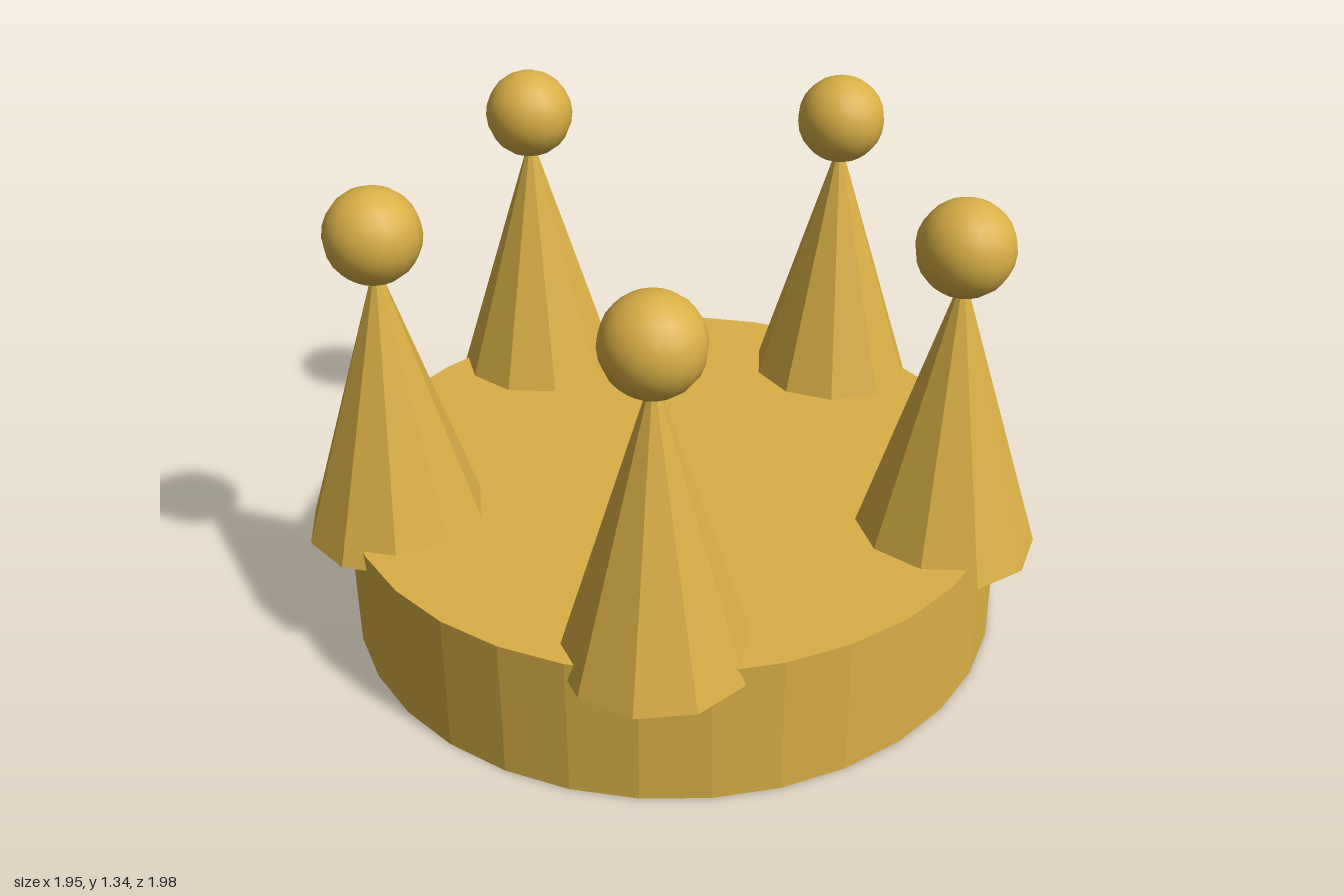
import * as THREE from 'three';

export function createModel() {
  const crown = new THREE.Group();
  crown.name = 'crown';

  const goldFlat = new THREE.MeshStandardMaterial({ color: 0xd9b046, flatShading: true });
  goldFlat.name = 'gold';
  const goldSmooth = new THREE.MeshStandardMaterial({ color: 0xd9b046 });
  goldSmooth.name = 'polished gold';

  const centreX = -0.06;
  const add = (name, geometry, material, parent, x, y, z) => {
    const mesh = new THREE.Mesh(geometry, material);
    mesh.name = name;
    mesh.position.set(x, y, z);
    parent.add(mesh);
    return mesh;
  };

  // Solid faceted band
  add('band', new THREE.CylinderGeometry(0.92, 0.92, 0.4, 32), goldFlat, crown, centreX, 0.2, 0);

  // Five ten-sided spikes, each topped by a ball
  const spikeGeometry = new THREE.ConeGeometry(0.25, 0.8, 10);
  const ballGeometry = new THREE.SphereGeometry(0.127, 16, 12);
  const turns = [18, 0, 9, -9, 0]; // facet turn of each spike, in degrees
  turns.forEach((turn, i) => {
    const angle = (i * Math.PI * 2) / 5;
    const point = new THREE.Group();
    point.name = 'point' + (i + 1);
    point.position.set(centreX + 0.78 * Math.cos(angle), 0, 0.78 * Math.sin(angle));
    const spike = add('spike', spikeGeometry, goldFlat, point, 0, 0.75, 0);
    spike.rotation.y = THREE.MathUtils.degToRad(turn);
    add('ball', ballGeometry, goldSmooth, point, 0, 1.217, 0);
    crown.add(point);
  });

  return crown;
}
